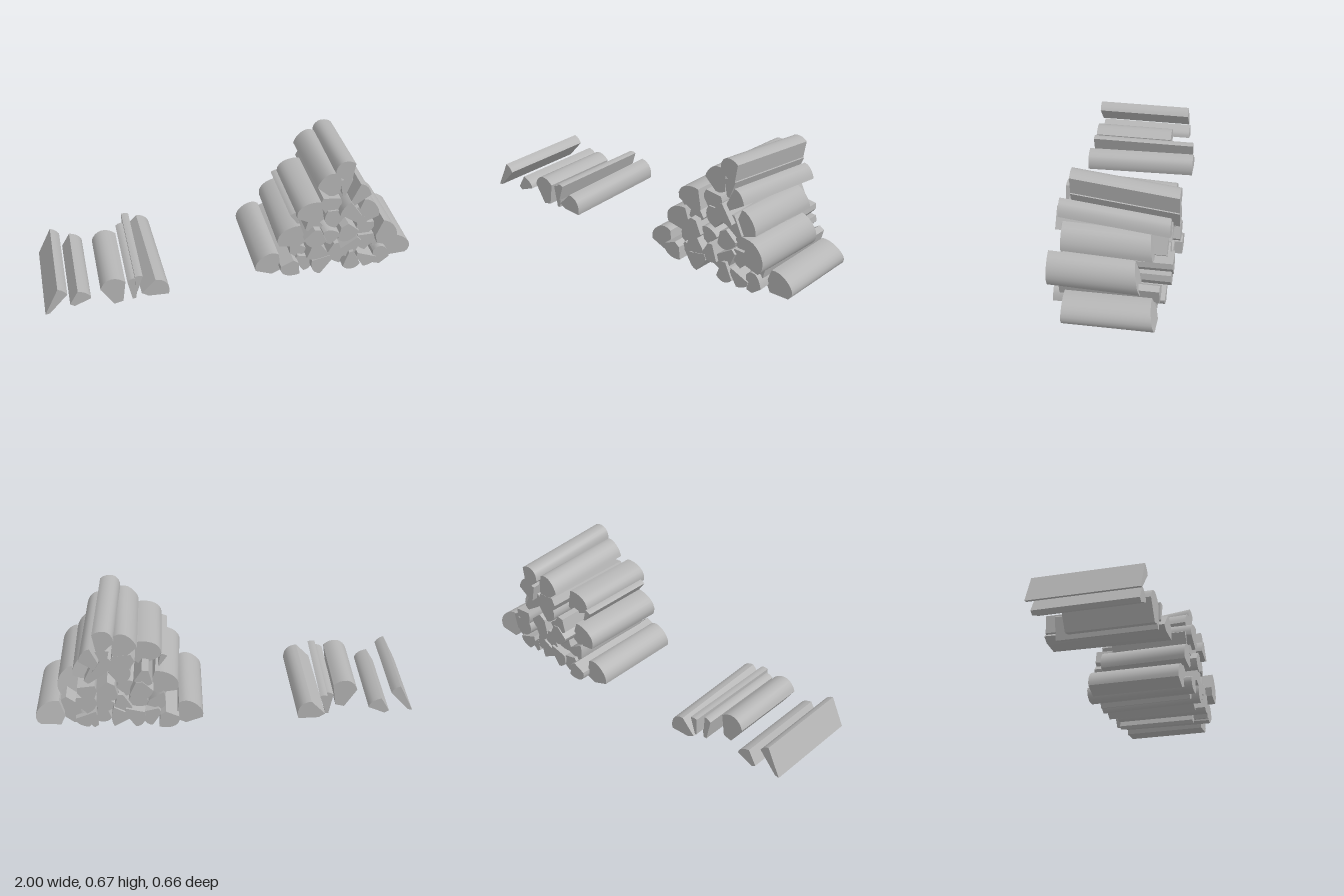
import * as THREE from 'three';
import { toCreasedNormals } from 'three/addons/utils/BufferGeometryUtils.js';

const wood = new THREE.MeshStandardMaterial({ color: 0xb4b4b4 });
wood.name = 'greyWood';

// Small seeded generator for the irregular splits
let seed = 1;
function vary(low, high) {
  seed = (seed * 16807) % 2147483647;
  return low + (high - low) * (seed / 2147483647);
}

// A split log whose front end fills the box x by y and runs from z[0] back to z[1].
// The slightly lumpy bark faces "turn" and covers "spread" radians, opposite it are flat split faces.
// dx and dy move the back end, slant tilts its cut.
function log(name, x, y, z, turn, spread, { dx = 0, dy = 0, slant = 0 } = {}) {
  const points = [];
  const add = (a, r) => points.push(new THREE.Vector2(Math.cos(a) * r, Math.sin(a) * r));
  const steps = Math.ceil(spread / 0.25);
  const phase = vary(0, 6.28);
  for (let i = 0; i <= steps; i++) {
    const a = turn + spread * (i / steps - 0.5);
    add(a, 1 + 0.05 * Math.sin(3 * a + phase));
  }
  for (const side of [-1, 1]) add(turn + Math.PI + side * spread * 0.2, vary(0.5, 0.85));

  // Fit the outline to its box
  const box = new THREE.Box2().setFromPoints(points);
  const size = box.getSize(new THREE.Vector2());
  for (const p of points) {
    p.sub(box.min).divide(size);
    p.set(THREE.MathUtils.lerp(x[0], x[1], p.x), THREE.MathUtils.lerp(y[0], y[1], p.y));
  }

  const geo = new THREE.ExtrudeGeometry(new THREE.Shape(points), { depth: 1, steps: 1, bevelEnabled: false });
  const pos = geo.attributes.position;
  const midY = (y[0] + y[1]) / 2;
  for (let i = 0; i < pos.count; i++) {
    const back = 1 - pos.getZ(i);
    const py = pos.getY(i);
    const pz = z[0] + (z[1] - z[0] + (py - midY) * slant) * back;
    pos.setXYZ(i, pos.getX(i) + dx * back, py + dy * back, pz);
  }
  const mesh = new THREE.Mesh(toCreasedNormals(geo, 0.6), wood);
  mesh.name = name;
  return mesh;
}

function group(name, logs) {
  const g = new THREE.Group();
  g.name = name;
  g.add(...logs);
  return g;
}

// A row of irregular split logs inside the pile, with the lowest edge kept at floor
function innerRow(from, to, y, count, floor = 0) {
  const logs = [];
  for (let i = 0; i < count; i++) {
    const x = THREE.MathUtils.lerp(from, to, i / (count - 1));
    const cy = y + vary(-0.012, 0.012);
    const w = vary(0.046, 0.062), h = vary(0.046, 0.06);
    const z = [vary(0.21, 0.28), vary(-0.32, -0.24)];
    const tilt = { dx: vary(-0.01, 0.01), dy: vary(-0.008, 0.004) };
    logs.push(log('splitLog', [x - w, x + w], [Math.max(floor, cy - h), cy + h], z, vary(0, 6.28), vary(1.2, 2.4), tilt));
  }
  return logs;
}

export function createModel() {
  seed = 7;
  const model = new THREE.Group();
  model.name = 'firewood';

  // Loose logs lying beside the pile
  model.add(group('looseLogs', [
    log('looseWedge', [-1, -0.88], [0.03, 0.18], [0.33, -0.21], 0.9, 0.7),
    log('looseSmallLog', [-0.87, -0.76], [0.03, 0.12], [0.29, -0.23], 0.8, 1.5),
    log('looseThickLog', [-0.71, -0.58], [0.02, 0.18], [0.3, -0.14], 1.8, 1.9),
    log('looseSplinter', [-0.57, -0.51], [0.03, 0.16], [0.29, -0.22], 1.6, 1),
    log('looseThinWedge', [-0.53, -0.49], [0.08, 0.18], [0.3, -0.28], 1.4, 0.7),
    log('looseRoundLog', [-0.5, -0.355], [0.05, 0.15], [0.31, -0.29], 0.5, 1.9, { dx: -0.02 }),
  ]));

  // Thick logs along the two sloping sides of the pile
  model.add(group('sideLogs', [
    log('cornerLogRight', [0.12, 0.26], [0.03, 0.165], [0.23, -0.27], 2.2, 2.4),
    log('lowerLogRight', [0.235, 0.39], [0.2, 0.33], [0.24, -0.24], 2.4, 2.2, { dx: 0.01 }),
    log('middleLogRight', [0.33, 0.475], [0.34, 0.48], [0.26, -0.19], 2.2, 2.1),
    log('upperLogRight', [0.45, 0.575], [0.46, 0.605], [0.2, -0.3], 2, 2.2, { dy: -0.02 }),
    log('cornerLogLeft', [0.84, 0.995], [0.03, 0.16], [0.19, -0.245], 0.6, 2.5, { slant: 0.22 }),
    log('lowerLogLeft', [0.76, 0.88], [0.165, 0.33], [0.28, -0.155], 0.4, 2.4, { dy: -0.015, slant: 0.18 }),
    log('middleLogLeft', [0.66, 0.79], [0.28, 0.44], [0.225, -0.215], 0.7, 1.8, { dy: -0.02, slant: 0.15 }),
    log('upperLogLeft', [0.62, 0.73], [0.42, 0.55], [0.245, -0.295], 0.8, 1.4, { dx: 0.02, dy: -0.05 }),
    log('topLog', [0.545, 0.65], [0.55, 0.67], [0.2, -0.33], 1.9, 2.3, { dx: 0.02, dy: -0.05 }),
  ]));

  // Logs filling the pile, row by row
  model.add(group('innerLogs', [
    ...innerRow(0.3, 0.81, 0.085, 7, 0.03),
    ...innerRow(0.36, 0.81, 0.165, 6),
    ...innerRow(0.43, 0.72, 0.25, 4),
    ...innerRow(0.43, 0.66, 0.335, 3),
    ...innerRow(0.52, 0.62, 0.41, 2),
  ]));

  // Thin splits wedged between the larger logs
  model.add(group('thinSplits', [
    log('groundSplit', [0.67, 0.77], [0, 0.1], [0.18, -0.25], 1.2, 1.2),
    log('rightSplit', [0.3, 0.35], [0.34, 0.41], [0.23, -0.2], 2, 0.8),
    log('topSplit', [0.57, 0.64], [0.46, 0.56], [0.2, -0.33], 1.5, 0.9, { dx: 0.02, dy: -0.05 }),
  ]));

  return model;
}
